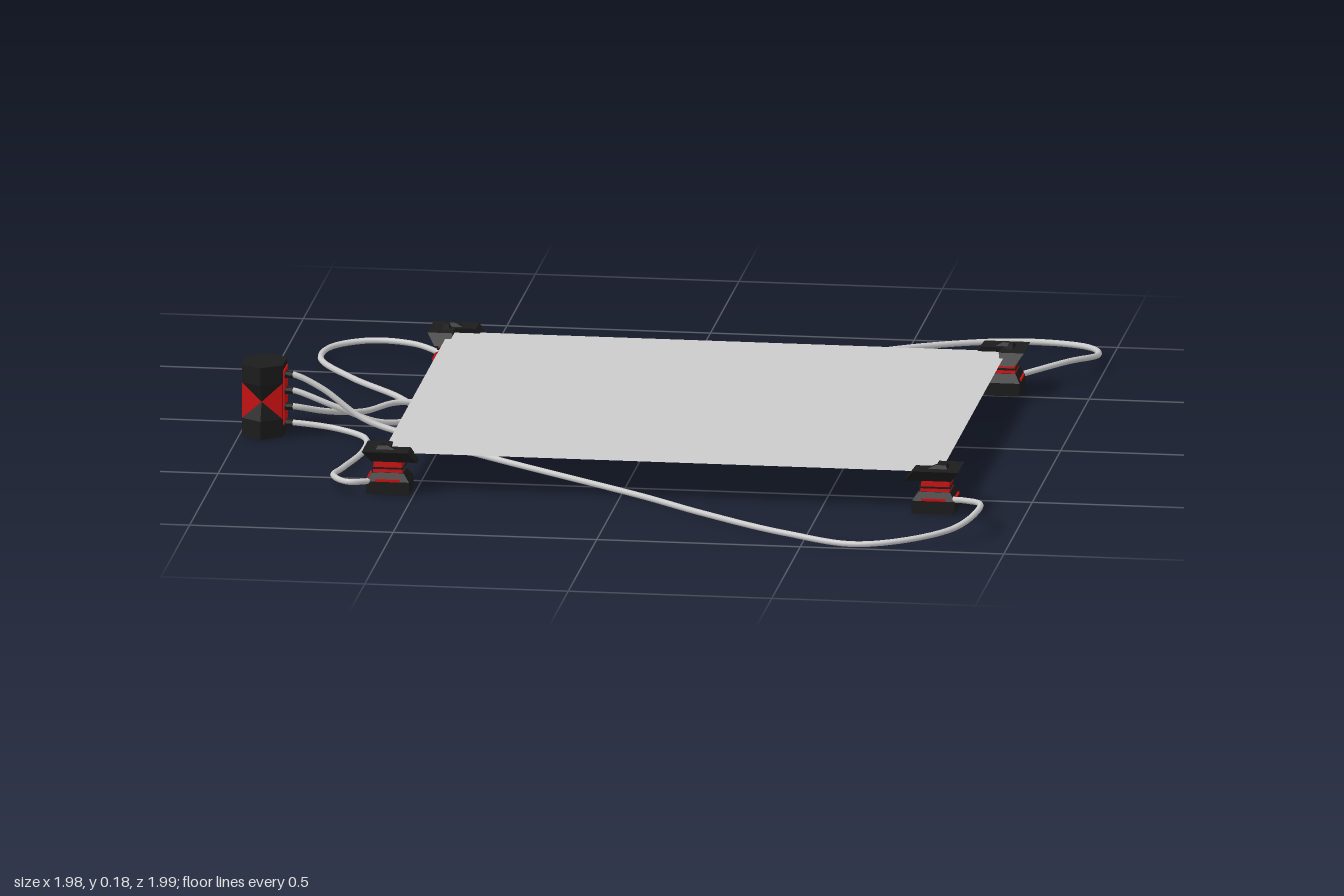
import * as THREE from 'three';

const mat = (color, extra = {}) => new THREE.MeshStandardMaterial({ color, ...extra });
const black = mat(0x1c1c1c, { flatShading: true });
const red = mat(0xcc1111, { flatShading: true });
const grey = mat(0xcccccc);

function add(parent, name, geometry, material, x = 0, y = 0, z = 0) {
  const mesh = new THREE.Mesh(geometry, material);
  mesh.name = name;
  mesh.position.set(x, y, z);
  parent.add(mesh);
  return mesh;
}

function flatGeometry(points) {
  const g = new THREE.BufferGeometry();
  g.setAttribute('position', new THREE.Float32BufferAttribute(points.flat(), 3));
  g.computeVertexNormals();
  return g;
}

// Closed solid through rings of [x, y, z] points, bottom to top; ends fan from corner k
function loft(rings, k) {
  const tris = [], n = rings[0].length, last = rings[rings.length - 1];
  for (let i = 0; i < n; i++) {
    const j = (i + 1) % n;
    for (let r = 0; r + 1 < rings.length; r++) {
      const a = rings[r], b = rings[r + 1];
      tris.push(a[i], b[i], a[j], a[j], b[i], b[j]);
    }
    if (i !== k && j !== k) {
      tris.push(last[k], last[j], last[i], rings[0][k], rings[0][i], rings[0][j]);
    }
  }
  return flatGeometry(tris);
}

// L-shaped ring: o = outer edge, e = arm end, w = inner edge
const lRing = (y, o, e, w) =>
  [[o, o], [e, o], [e, w], [w, w], [w, e], [o, e]].map(([x, z]) => [x, y, z]);
const lSolid = (...rings) => loft(rings.map((r) => lRing(...r)), 3);

// Square ring from o to e with its inner corner cut by c
const sRing = (y, o, e, c) =>
  [[o, o], [e, o], [e, e - c], [e - c, e], [o, e]].map(([x, z]) => [x, y, z]);
const sSolid = (...rings) => loft(rings.map((r) => sRing(...r)), 0);

// Corner clamp with its outer corner at the origin, reaching along +x and +z
function cornerUnit() {
  const g = new THREE.Group();
  add(g, 'clampBase', sSolid([0, 0.01, 0.115, 0.025], [0.032, 0.01, 0.115, 0.025],
    [0.052, 0.022, 0.1, 0.02]), black);
  add(g, 'clampRedCore', sSolid([0.05, 0.024, 0.097, 0.02], [0.082, 0.026, 0.093, 0.02]), red);
  add(g, 'clampBand', sSolid([0.061, 0.022, 0.1, 0.02], [0.065, 0.022, 0.1, 0.02]), black);
  add(g, 'clampCap', lSolid([0.08, 0.02, 0.134, 0.055], [0.108, 0, 0.112, 0.062]), black);
  add(g, 'clampCrest', lSolid([0.107, 0.03, 0.08, 0.05], [0.117, 0.035, 0.06, 0.045]), black);
  // Red accents on the two outer faces
  add(g, 'clampAccent', new THREE.BoxGeometry(0.06, 0.006, 0.006), red, 0.062, 0.035, 0.012);
  add(g, 'clampAccent', new THREE.BoxGeometry(0.006, 0.006, 0.06), red, 0.012, 0.035, 0.062);
  return g;
}

// Hexagonal control box with pinched front and back edges
function controlBox(ports) {
  const g = new THREE.Group();
  g.name = 'controlBox';
  const X = 0.05, Z = 0.04, tip = 0.074, lo = 0.045, hi = 0.135, mid = 0.09;
  const hex = (y, s = 1) => [[X, -Z], [X, Z], [0, tip], [-X, Z], [-X, -Z], [0, -tip]]
    .map(([x, z]) => [x * s, y, z * s]);
  add(g, 'boxLower', loft([hex(0), hex(lo)], 0), black);
  add(g, 'boxUpper', loft([hex(hi), hex(0.18)], 0), black);
  add(g, 'boxCore', new THREE.BoxGeometry(2 * X, hi - lo, 2 * Z), black, 0, mid, 0);
  const dark = [], bright = [];
  for (const sx of [1, -1]) for (const sz of [1, -1]) {
    const p = (x, y, z) => [sx * x, y, sz * z];
    const face = (list, a, b, c) => list.push(...(sx * sz > 0 ? [a, b, c] : [a, c, b]));
    const A = p(X, hi, Z), B = p(X, lo, Z), P = p(0, mid, 0.052);
    face(dark, A, p(0, hi, tip), P);
    face(dark, B, P, p(0, lo, tip));
    face(bright, A, P, B);
  }
  add(g, 'boxPinch', flatGeometry(dark), black);
  add(g, 'boxRedFacets', flatGeometry(bright), red);
  // Socket panel with four cable plugs
  add(g, 'socketPanel', new THREE.BoxGeometry(0.004, 0.135, 0.066), red, X + 0.001, 0.097, 0);
  for (const y of ports) {
    const plug = new THREE.CylinderGeometry(0.01, 0.01, 0.02, 8).rotateZ(Math.PI / 2);
    add(g, 'cablePlug', plug, black, X + 0.01, y, 0);
    for (const s of [-1, 1]) {
      add(g, 'socketMark', new THREE.BoxGeometry(0.006, 0.008, 0.012), black, X + 0.002, y, s * 0.022);
    }
  }
  return g;
}

export function createModel() {
  const model = new THREE.Group();

  // Flat sheet held up in the clamp caps
  const sheet = new THREE.PlaneGeometry(1.37, 1.17).rotateX(-Math.PI / 2);
  add(model, 'sheet', sheet, mat(0xcccccc, { side: THREE.DoubleSide }), 0.105, 0.096, 0.025);

  const corners = [[-0.625, -0.61, 0], [-0.625, 0.66, 1], [0.84, 0.66, 2], [0.84, -0.61, 3]];
  for (const [x, z, turn] of corners) {
    const unit = cornerUnit();
    unit.name = 'cornerClamp';
    unit.position.set(x, 0, z);
    unit.rotation.y = turn * Math.PI / 2;
    model.add(unit);
  }

  const ports = [0.148, 0.068, 0.108, 0.027], boxX = -0.942, boxZ = 0.097;
  const box = controlBox(ports);
  box.position.set(boxX, 0, boxZ);
  model.add(box);

  // Cables from each clamp to its port
  const paths = {
    frontLeftCable: [[0.81, 0.03, 0.62], [0.86, 0.045, 0.68], [0.915, 0.063, 0.8], [0.86, 0.035, 0.92],
      [0.65, 0.008, 0.99], [0.45, 0.008, 0.91], [0.22, 0.008, 0.745], [0.06, 0.008, 0.61],
      [-0.35, 0.008, 0.3], [-0.58, 0.014, 0.13], [-0.7, 0.045, 0.102], [-0.8, 0.115, 0.097]],
    backLeftCable: [[0.81, 0.03, -0.58], [0.92, 0.043, -0.68], [0.978, 0.026, -0.82], [0.93, 0.014, -0.94],
      [0.76, 0.008, -0.99], [0.55, 0.008, -0.92], [0.3, 0.008, -0.75], [0.09, 0.008, -0.56],
      [-0.28, 0.008, -0.25], [-0.55, 0.012, -0.185], [-0.65, 0.018, -0.165], [-0.72, 0.02, -0.06],
      [-0.8, 0.045, 0.045]],
    backRightCable: [[-0.59, 0.03, -0.58], [-0.68, 0.035, -0.66], [-0.8, 0.028, -0.703], [-0.885, 0.018, -0.67],
      [-0.9, 0.01, -0.59], [-0.8, 0.008, -0.42], [-0.66, 0.008, -0.25], [-0.6, 0.009, -0.13],
      [-0.6, 0.012, -0.02], [-0.67, 0.03, 0.07], [-0.77, 0.072, 0.097]],
    frontRightCable: [[-0.59, 0.03, 0.63], [-0.655, 0.033, 0.665], [-0.705, 0.025, 0.58], [-0.7, 0.01, 0.44],
      [-0.675, 0.008, 0.27], [-0.69, 0.01, 0.15], [-0.77, 0.018, 0.102]],
  };
  Object.entries(paths).forEach(([name, pts], i) => {
    const end = [[-0.87, ports[i], boxZ], [-0.89, ports[i], boxZ]];
    const curve = new THREE.CatmullRomCurve3([...pts, ...end].map((p) => new THREE.Vector3(...p)));
    add(model, name, new THREE.TubeGeometry(curve, 120, 0.0075, 8), grey);
  });

  return model;
}
